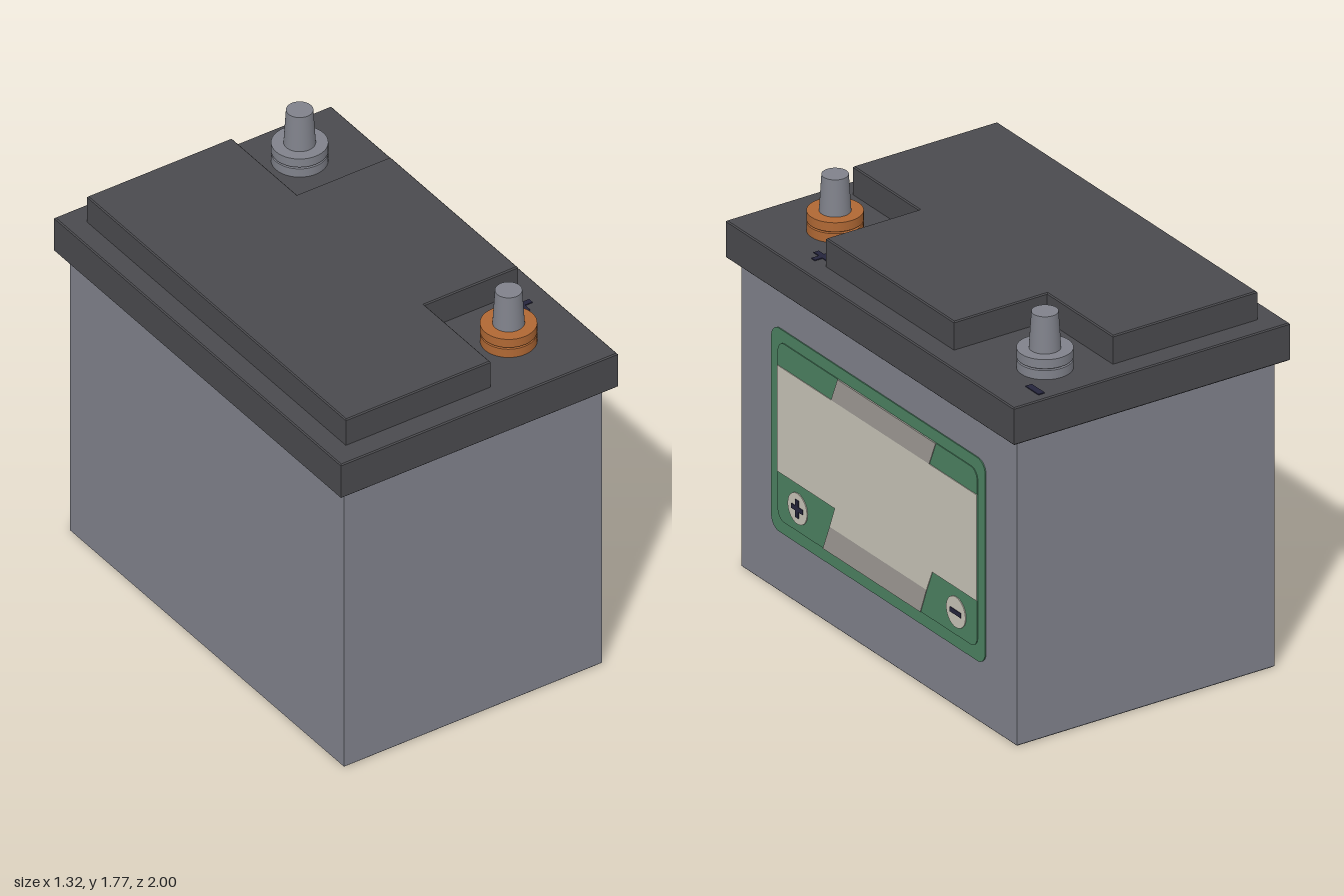
import * as THREE from 'three';

const mat = (name, color) => {
  const m = new THREE.MeshStandardMaterial({ color });
  m.name = name;
  return m;
};

export function createModel() {
  const group = new THREE.Group();
  const casing = mat('casing grey', 0x80828c);
  const lidDark = mat('lid charcoal', 0x4a4a4e);
  const lead = mat('terminal grey', 0x80828b);
  const copper = mat('terminal orange', 0xb06834);
  const green = mat('label green', 0x4c8262);
  const cream = mat('label cream', 0xc8c5b8);
  const stripe = mat('label grey', 0x9f9b95);
  const navy = mat('symbol navy', 0x25253c);

  const add = (name, geometry, material, parent = group) => {
    const mesh = new THREE.Mesh(geometry, material);
    mesh.name = name;
    parent.add(mesh);
    return mesh;
  };
  const poly = (pts) => new THREE.Shape(pts.map(([x, y]) => new THREE.Vector2(x, y)));
  const rect = (w, h) => [[-w, -h], [w, -h], [w, h], [-w, h]];
  const plus = (a, b) => [[-b, -a], [b, -a], [b, -b], [a, -b], [a, b], [b, b],
    [b, a], [-b, a], [-b, b], [-a, b], [-a, -b], [-b, -b]];

  // Horizontal slab with a fine chamfer, outline given as [x, -z]
  const slab = (name, pts, y0, y1, material) => {
    const c = 0.005;
    const geo = new THREE.ExtrudeGeometry(poly(pts), {
      depth: y1 - y0 - 2 * c, bevelEnabled: true, bevelSegments: 1,
      bevelSize: c, bevelOffset: -c, bevelThickness: c,
    });
    geo.rotateX(-Math.PI / 2).translate(0, y0 + c, 0);
    return add(name, geo, material);
  };
  slab('casing', rect(0.615, 0.955), 0, 1.362, casing);
  slab('lid', rect(0.66, 1), 1.355, 1.52, lidDark);
  slab('raisedCover', [[-0.57, -0.903], [0.12, -0.903], [0.12, -0.443], [0.565, -0.443],
    [0.565, 0.447], [0.12, 0.447], [0.12, 0.903], [-0.57, 0.903]], 1.515, 1.645, lidDark);

  // Terminals: grooved collar and tapered post
  const collar = [[0, 0], [0.113, 0], [0.113, 0.04], [0.104, 0.042], [0.104, 0.046],
    [0.113, 0.048], [0.113, 0.088], [0, 0.088]];
  const lathe = (pts) => {
    // Each profile segment is turned separately to keep its edges sharp
    return pts.slice(1).map((p, i) =>
      new THREE.LatheGeometry([new THREE.Vector2(...pts[i]), new THREE.Vector2(...p)], 40));
  };
  const terminal = (name, z, material) => {
    const t = new THREE.Group();
    t.name = name;
    t.position.set(0.353, 1.52, z);
    lathe(collar).forEach((g) => add('collar', g, material, t));
    const post = add('post', new THREE.CylinderGeometry(0.054, 0.064, 0.16, 40), lead, t);
    post.position.y = 0.167;
    group.add(t);
  };
  terminal('positiveTerminal', 0.687, copper);
  terminal('negativeTerminal', -0.77, lead);

  // Polarity marks on the lid
  const lidMark = (name, pts, x, z) => {
    const geo = new THREE.ExtrudeGeometry(poly(pts), { depth: 0.006, bevelEnabled: false });
    geo.rotateX(-Math.PI / 2);
    add(name, geo, navy).position.set(x, 1.518, z);
  };
  lidMark('lidPlus', plus(0.048, 0.012), 0.525, 0.52);
  lidMark('lidMinus', rect(0.015, 0.045), 0.5, -0.915);

  // Side label: thin plates stacked outwards, shapes drawn as [-z, y]
  const label = new THREE.Group();
  label.name = 'sideLabel';
  group.add(label);
  const plate = (name, shape, x, material, depth = 0.006) => {
    const geo = new THREE.ExtrudeGeometry(shape, { depth, bevelEnabled: false, curveSegments: 24 });
    geo.rotateY(Math.PI / 2).translate(x - depth, 0, 0);
    return add(name, geo, material, label);
  };
  const rounded = (w, y0, y1, r) => {
    const s = new THREE.Shape();
    s.absarc(w - r, y0 + r, r, -Math.PI / 2, 0);
    s.absarc(w - r, y1 - r, r, 0, Math.PI / 2);
    s.absarc(-w + r, y1 - r, r, Math.PI / 2, Math.PI);
    s.absarc(-w + r, y0 + r, r, Math.PI, Math.PI * 1.5);
    return s;
  };
  plate('labelBorder', rounded(0.743, 0.268, 1.163, 0.055), 0.62, green);
  plate('labelPanel', rounded(0.692, 0.325, 1.11, 0.045), 0.624, green);
  plate('labelField', poly([[-0.692, 0.535], [-0.292, 0.535], [-0.328, 0.44], [0.345, 0.44],
    [0.385, 0.535], [0.692, 0.535], [0.692, 1.002], [-0.692, 1.002]]), 0.627, cream);
  plate('upperStripe', poly([[-0.318, 1.002], [0.363, 1.002], [0.408, 1.11], [-0.273, 1.11]]),
    0.627, stripe);
  plate('lowerStripe', poly([[-0.375, 0.325], [0.302, 0.325], [0.345, 0.44], [-0.328, 0.44]]),
    0.627, stripe);

  // Label polarity badges
  for (const [name, z, pts] of [['plus', 0.55, plus(0.039, 0.0105)], ['minus', -0.55, rect(0.038, 0.0105)]]) {
    const disc = new THREE.Shape().absarc(-z, 0.427, 0.067, 0, Math.PI * 2);
    plate(name + 'Badge', disc, 0.628, cream);
    plate(name + 'Symbol', poly(pts.map(([x, y]) => [x - z, y + 0.427])), 0.631, navy);
  }
  return group;
}
